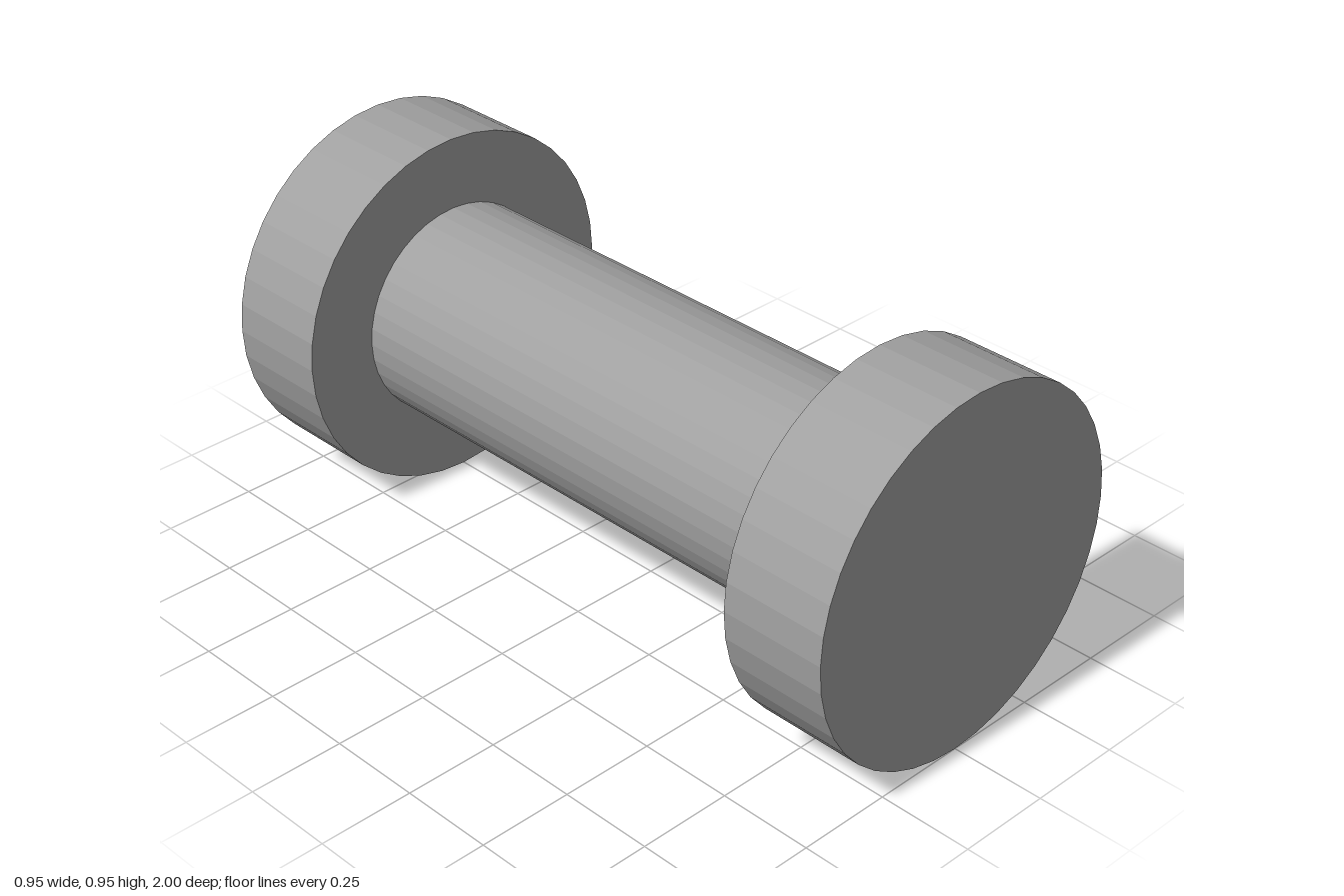
import * as THREE from 'three';

const SIDES = 40;
const FLANGE_RADIUS = 0.476;
const SHAFT_RADIUS = 0.285;
const FLANGE_DEPTH = 0.285;

export function createModel() {
  const group = new THREE.Group();
  group.name = 'spool';
  const material = new THREE.MeshStandardMaterial({ color: 0xa0a0a0, flatShading: true });

  // Faceted cylinder lying along z
  function addCylinder(name, radius, length, z, openEnded = false) {
    const geometry = new THREE.CylinderGeometry(radius, radius, length, SIDES, 1, openEnded);
    geometry.rotateX(Math.PI / 2);
    const mesh = new THREE.Mesh(geometry, material);
    mesh.name = name;
    mesh.position.set(0, FLANGE_RADIUS, z);
    group.add(mesh);
  }

  // Central shaft, meeting the inner faces of the flanges
  addCylinder('shaft', SHAFT_RADIUS, 2 - 2 * FLANGE_DEPTH, 0, true);

  // Matching end flanges
  addCylinder('frontFlange', FLANGE_RADIUS, FLANGE_DEPTH, 1 - FLANGE_DEPTH / 2);
  addCylinder('backFlange', FLANGE_RADIUS, FLANGE_DEPTH, -1 + FLANGE_DEPTH / 2);

  return group;
}
